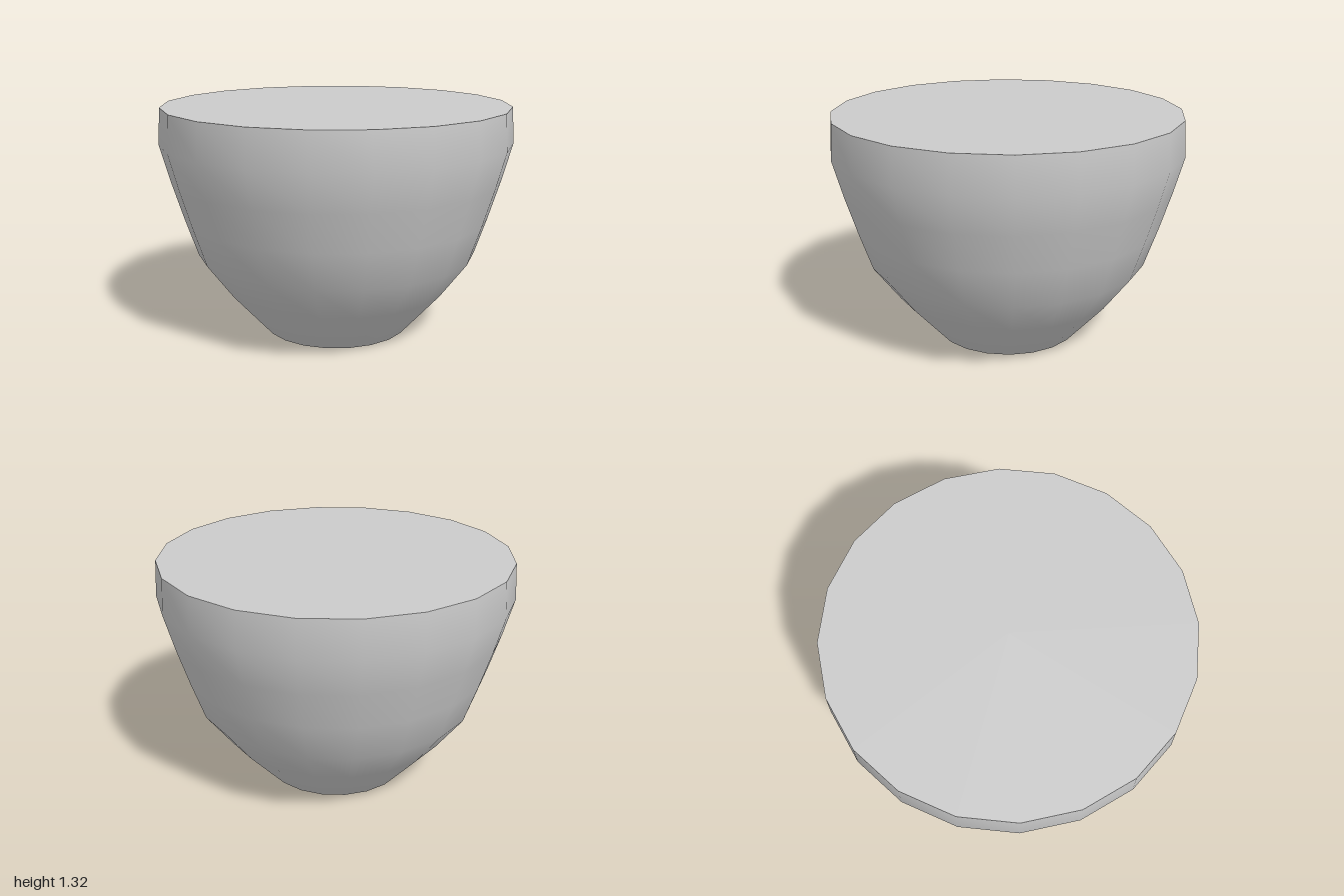
import * as THREE from 'three';

const SIDES = 20;

// Outer wall from foot to rim: [radius, height]
const PROFILE = [
  [0.417, 0], [0.65, 0.26], [0.803, 0.465], [0.877, 0.685],
  [0.943, 0.9], [1, 1.11], [0.988, 1.315],
];

export function createModel() {
  const group = new THREE.Group();
  group.name = 'bowl';
  const material = new THREE.MeshStandardMaterial({ color: 0xcccccc });

  // Smooth-shaded wall
  const points = PROFILE.map(([r, y]) => new THREE.Vector2(r, y));
  const wall = new THREE.Mesh(new THREE.LatheGeometry(points, SIDES), material);
  wall.name = 'wall';
  group.add(wall);

  // Flat disc closing one end of the wall; facing is 1 for up, -1 for down
  const addDisc = (name, [radius, height], facing) => {
    const disc = new THREE.Mesh(new THREE.CircleGeometry(radius, SIDES), material);
    disc.name = name;
    disc.rotation.x = -facing * Math.PI / 2;
    disc.position.y = height;
    group.add(disc);
  };
  addDisc('base', PROFILE[0], -1);
  addDisc('top', PROFILE[PROFILE.length - 1], 1);

  return group;
}
